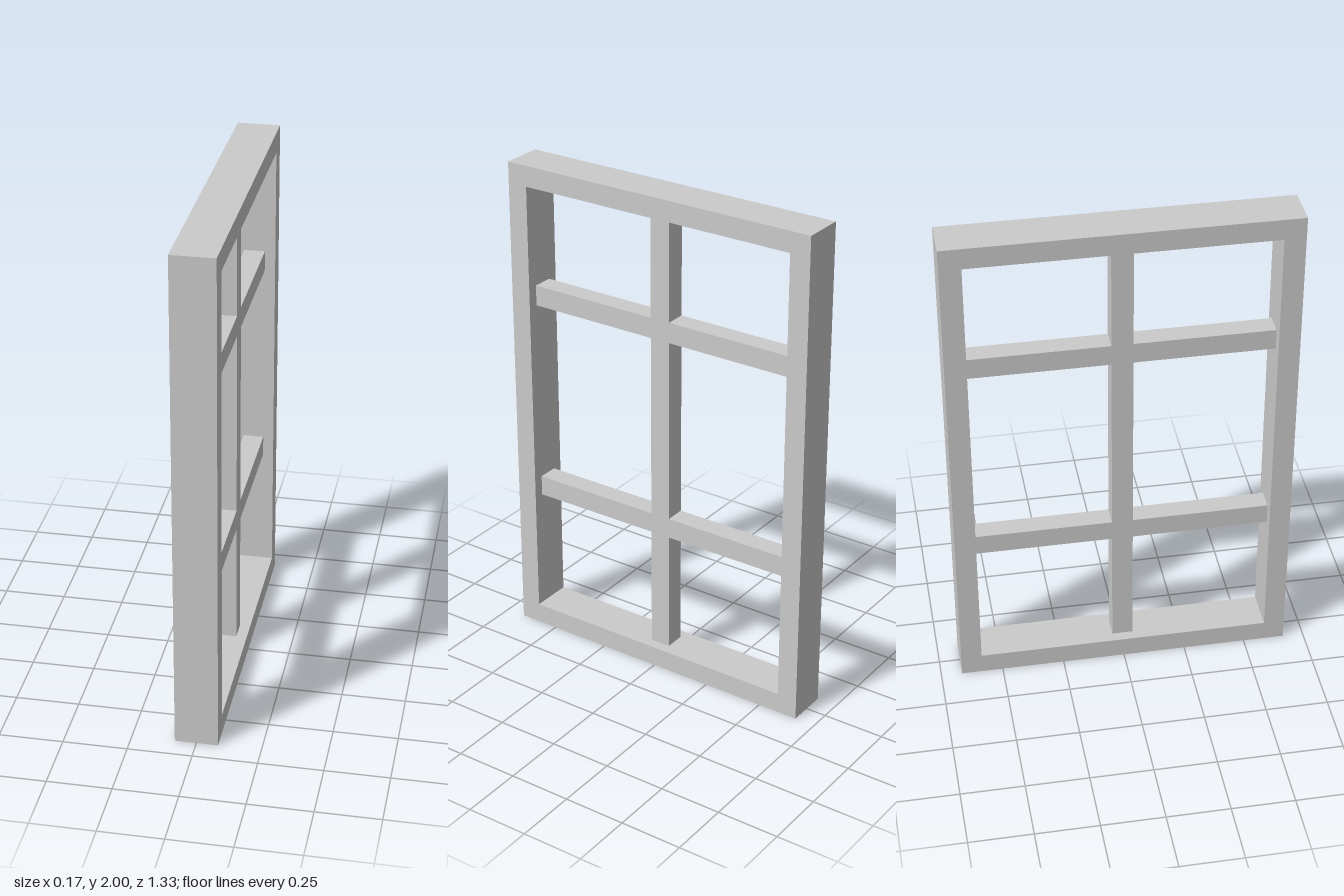
import * as THREE from 'three';

const W = 1.333, H = 2, DEPTH = 0.167, BAR = 0.083;

// Extrudes a shape drawn in the window plane and turns it so its thickness runs along x
function panel(name, shape, depth, material) {
  const geometry = new THREE.ExtrudeGeometry(shape, { depth, bevelEnabled: false });
  geometry.translate(0, 0, -depth / 2).rotateY(Math.PI / 2);
  const mesh = new THREE.Mesh(geometry, material);
  mesh.name = name;
  return mesh;
}

const outline = (points) => points.map(([x, y]) => new THREE.Vector2(x, y));

const rectangle = (x, y0, y1) => outline([[-x, y0], [x, y0], [x, y1], [-x, y1]]);

export function createModel() {
  const group = new THREE.Group();
  group.name = 'windowFrame';
  const material = new THREE.MeshStandardMaterial({ color: 0xcccccc, flatShading: true });

  // Outer frame: one rectangle with the opening cut out
  const innerX = W / 2 - BAR;
  const frame = new THREE.Shape(rectangle(W / 2, 0, H));
  frame.holes.push(new THREE.Path(rectangle(innerX, BAR, H - BAR)));
  group.add(panel('outerFrame', frame, DEPTH, material));

  // Glazing bars: one upright crossed by two rails, half as deep as the frame
  const half = BAR / 2;
  const side = [[half, BAR]];
  for (const y of [0.583, 1.417]) {
    side.push([half, y], [innerX, y], [innerX, y + BAR], [half, y + BAR]);
  }
  side.push([half, H - BAR]);
  const mirrored = side.map(([x, y]) => [-x, y]).reverse();
  const bars = new THREE.Shape(outline([...side, ...mirrored]));
  group.add(panel('glazingBars', bars, BAR, material));

  return group;
}
